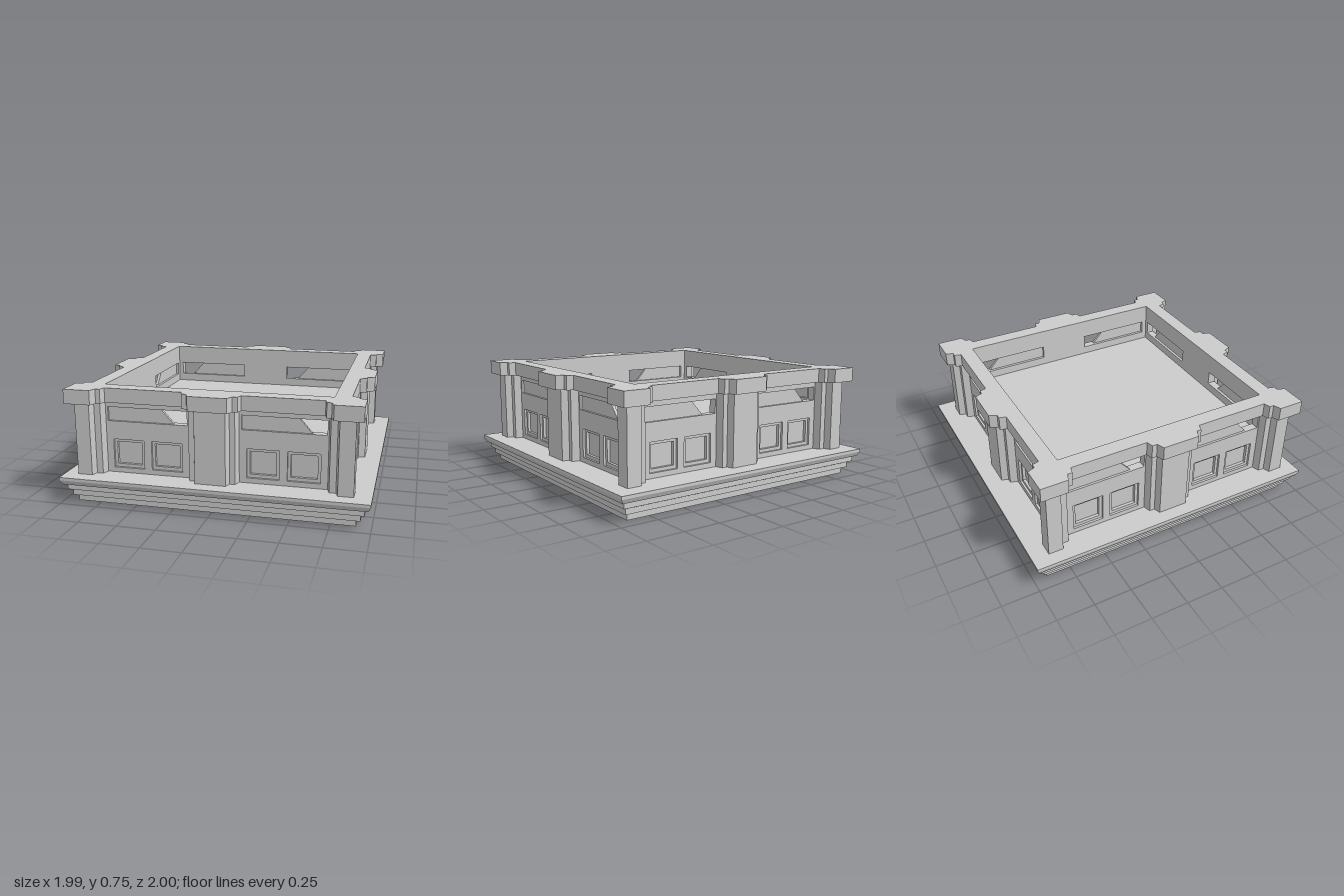
import * as THREE from 'three';

const INNER = 0.745;   // inner face of the walls
const BASE_TOP = 0.18, WALL_TOP = 0.66, TOP = 0.755, FLOOR = 0.47;

const material = new THREE.MeshStandardMaterial({ color: 0xcccccc, flatShading: true });

function mesh(name, geometry) {
  const m = new THREE.Mesh(geometry, material);
  m.name = name;
  return m;
}

const v2 = (p) => new THREE.Vector2(p[0], p[1]);
const polygon = (points) => new THREE.Shape(points.map(v2));
const rect = (x0, y0, x1, y1) => [[x0, y0], [x1, y0], [x1, y1], [x0, y1]];

// Extrude a plan outline upwards from y0 to y1
function prism(shape, y0, y1) {
  return new THREE.ExtrudeGeometry(shape, { depth: y1 - y0, bevelEnabled: false })
    .rotateX(-Math.PI / 2).translate(0, y0, 0);
}

// One upright layer of a wall, with openings, between two depths
function wallLayer(holes, d0, d1) {
  const shape = polygon(rect(-INNER, BASE_TOP, INNER, WALL_TOP));
  for (const h of holes) shape.holes.push(new THREE.Path(h.map(v2)));
  return new THREE.ExtrudeGeometry(shape, { depth: d1 - d0, bevelEnabled: false }).translate(0, 0, d0);
}

function createSide() {
  const side = new THREE.Group();
  side.name = 'wallSide';
  const panels = [], notches = [], frames = [], panes = [];
  for (const x of [-0.71, 0.18]) {
    // long recessed panel with a slanted opening at its right end
    panels.push(rect(x, 0.527, x + 0.535, 0.62));
    notches.push([[x + 0.443, 0.527], [x + 0.535, 0.527], [x + 0.535, 0.62], [x + 0.36, 0.62]]);
    // two stepped windows below it
    for (const dx of [0.032, 0.292]) {
      frames.push(rect(x + dx, 0.213, x + dx + 0.208, 0.405));
      panes.push(rect(x + dx + 0.02, 0.235, x + dx + 0.188, 0.386));
    }
  }
  side.add(mesh('outerWall', wallLayer([...panels, ...frames], 0.785, 0.8)));
  side.add(mesh('middleWall', wallLayer([...notches, ...panes], 0.765, 0.785)));
  side.add(mesh('innerWall', wallLayer(panels, INNER, 0.765)));

  // Stepped pilaster in the middle of the side
  const half = [[0.165, 0.78], [0.165, 0.8], [0.15, 0.85], [0.115, 0.85], [0.1, 0.895]];
  const pilaster = [...half, ...half.map(([x, d]) => [-x, d]).reverse()]
    .map(([x, d]) => [x, -d]);
  side.add(mesh('middlePilaster', prism(polygon(pilaster), BASE_TOP, WALL_TOP)));

  // Stepped column at the corner
  const edge = [[0.725, 0.79], [0.725, 0.8], [0.74, 0.85], [0.782, 0.85], [0.797, 0.895]];
  const column = [[INNER, INNER], ...edge, [0.895, 0.895],
    ...edge.map(([x, d]) => [d, x]).reverse()].map(([x, d]) => [x, -d]);
  side.add(mesh('cornerColumn', prism(polygon(column), BASE_TOP, WALL_TOP)));
  return side;
}

// Parapet ring whose outline steps out over every pilaster and column
function createParapet() {
  const half = [[0.125, 0.943], [0.145, 0.893], [0.178, 0.893], [0.19, 0.848],
    [0.705, 0.848], [0.717, 0.893], [0.747, 0.893], [0.765, 0.943], [0.943, 0.943]];
  // the corner point is shared by neighbouring sides
  const run = [...half.slice(0, -1).map(([x, d]) => [-x, d]).reverse(), ...half];
  const outline = [];
  for (let i = 0; i < 4; i++) {
    const c = Math.round(Math.cos(i * Math.PI / 2)), s = Math.round(Math.sin(i * Math.PI / 2));
    for (const [x, d] of run) outline.push([x * c + d * s, d * c - x * s]);
  }
  const shape = polygon(outline);
  shape.holes.push(new THREE.Path(rect(-INNER, -INNER, INNER, INNER).map(v2)));
  return mesh('parapet', prism(shape, WALL_TOP, TOP));
}

// Square stepped plinth: a four-sided lathe of its moulding
function createPlinth() {
  const profile = [[0, 0], [0.91, 0], [0.91, 0.035], [0.937, 0.045], [0.937, 0.08], [0.962, 0.09],
    [0.962, 0.125], [0.985, 0.13], [1, 0.16], [1, BASE_TOP], [0, BASE_TOP]];
  const points = profile.map(([r, y]) => new THREE.Vector2(r * Math.SQRT2, y));
  const geometry = new THREE.LatheGeometry(points, 4, Math.PI / 4).scale(0.995, 1, 1);
  return mesh('plinth', geometry);
}

export function createModel() {
  const model = new THREE.Group();
  model.name = 'buildingStorey';
  model.add(createPlinth());

  const upper = new THREE.Group();
  upper.name = 'upperStorey';
  upper.position.set(-0.01, 0, 0.008);
  for (let i = 0; i < 4; i++) {
    const side = createSide();
    side.rotation.y = i * Math.PI / 2;
    upper.add(side);
  }
  upper.add(createParapet());

  // Sunken roof deck
  const deck = new THREE.BoxGeometry(2 * INNER, FLOOR - BASE_TOP, 2 * INNER);
  deck.translate(0, (FLOOR + BASE_TOP) / 2, 0);
  upper.add(mesh('roofDeck', deck));
  model.add(upper);
  return model;
}
